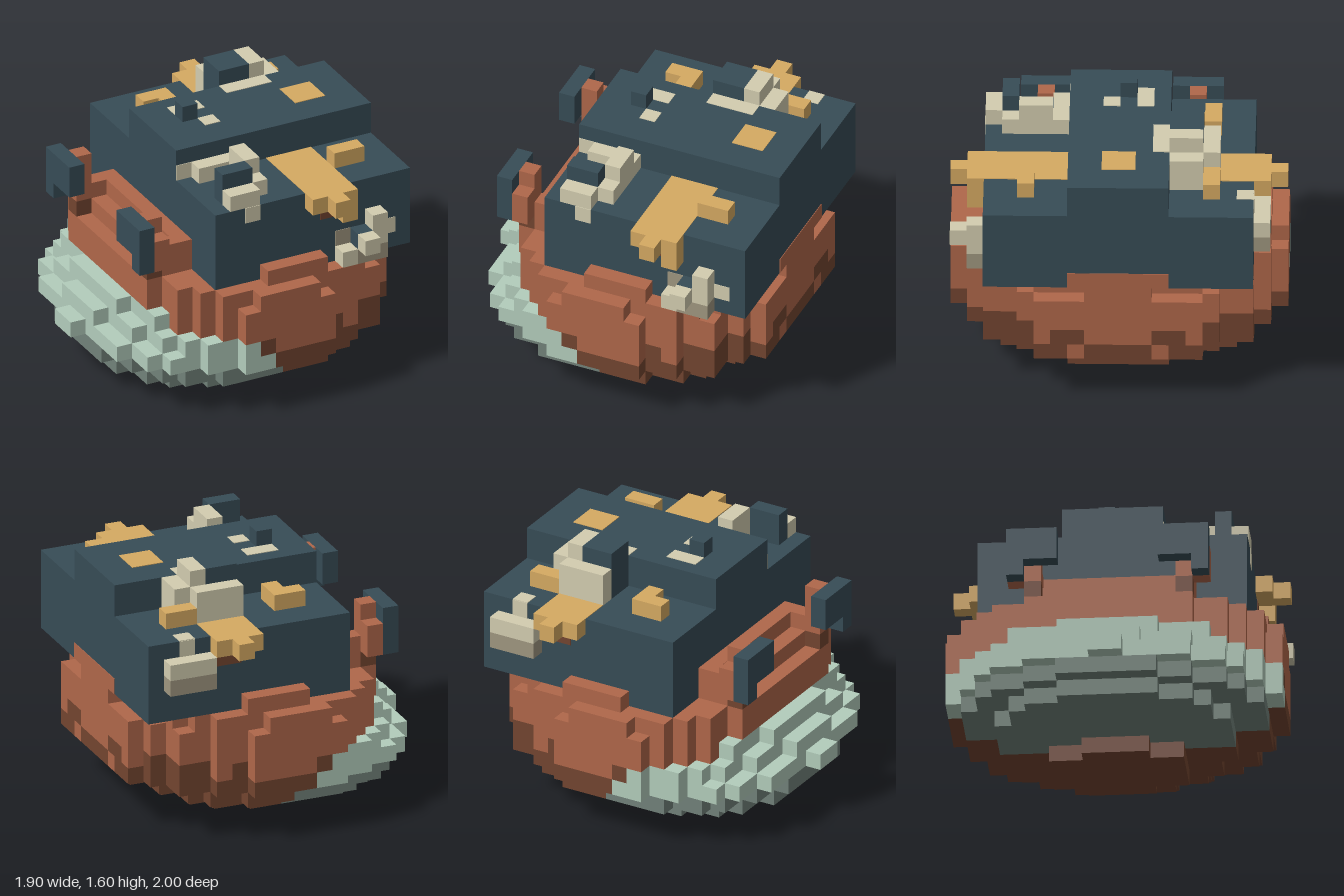
import * as THREE from 'three';
import { mergeGeometries } from 'three/addons/utils/BufferGeometryUtils.js';

const colour = (name, hex) => {
  const m = new THREE.MeshStandardMaterial({ color: hex });
  m.name = name;
  return m;
};
const U = 0.1; // block size
const T = 0.004; // painted plate thickness
const ROUND = 2.15; // exponent of the footprint curve

// Stacked footprints of the round body: centre x, left and right radius, z radius
const LAYERS = [
  [0.15, 0.3, 0.3, 0.4],
  [-0.05, 0.7, 0.7, 0.7],
  [0, 0.85, 0.85, 0.9],
  [0.05, 0.953, 0.94, 1],
  [0.05, 0.87, 0.94, 1],
  [0.05, 0.77, 0.94, 1],
  [0.05, 0.748, 0.94, 1],
  [0.05, 0.745, 0.87, 0.98],
];
// Shell colour reaches up to this x in each layer
const SHELL_EDGE = [-9, 0.05, 0.05, -0.05, -0.15, -0.55, -9, -9];

function bodyCell(x, j, z) {
  if (!LAYERS[j] || x > 0.92) return null;
  const [cx, rl, rr, rz] = LAYERS[j];
  const dx = x - cx;
  const a = Math.abs(z);
  if (Math.abs(dx / (dx < 0 ? rl : rr)) ** ROUND + (a / rz) ** ROUND > 1) return null;
  if (x < SHELL_EDGE[j]) return j < 3 ? 'shellUnderside' : 'shell';
  if (j < 3) return 'lowerBody';
  if (j === 3) return x > 0.6 && a > 0.2 && a < 0.3 ? 'upperBody' : 'lowerBody';
  if (j === 4) {
    const clay = (a > 0.7 && x > -0.05 && x < 0.35) || (a > 0.6 && x > 0.45 && x < 0.55)
      || (x > 0.6 && (a < 0.2 || (a > 0.4 && a < 0.5)));
    return clay ? 'upperBody' : 'lowerBody';
  }
  return 'upperBody';
}

// One exposed face of a block, turned toward direction d
function blockFace(x, y, z, d) {
  const g = new THREE.PlaneGeometry(U, U);
  const n = new THREE.Vector3(...d);
  g.applyQuaternion(new THREE.Quaternion().setFromUnitVectors(new THREE.Vector3(0, 0, 1), n));
  return g.translate(x + d[0] * U / 2, y + d[1] * U / 2, z + d[2] * U / 2);
}

export function createModel() {
  const model = new THREE.Group();
  model.name = 'blockCreature';
  const slate = colour('slate', 0x374c56);
  const clay = colour('clay', 0xb0674a);
  const darkClay = colour('darkClay', 0x734530);
  const sage = colour('sage', 0xb3cdbc);
  const darkSage = colour('darkSage', 0x72827a);
  const bone = colour('bone', 0xd3cdb0);
  const darkBone = colour('darkBone', 0xa09780);
  const ochre = colour('ochre', 0xd6aa62);

  const box = (name, mat, x0, x1, y0, y1, z0, z1) => {
    const m = new THREE.Mesh(new THREE.BoxGeometry(x1 - x0, y1 - y0, z1 - z0), mat);
    m.position.set((x0 + x1) / 2, (y0 + y1) / 2, (z0 + z1) / 2);
    m.name = name;
    model.add(m);
  };
  // Thin patch lying on a surface at height y
  const patch = (name, mat, x0, x1, y, z0, z1) => box(name, mat, x0, x1, y, y + T, z0, z1);
  // Thin patch on a front-facing surface at depth z
  const frontPatch = (name, mat, x0, x1, y0, y1, z) => box(name, mat, x0, x1, y0, y1, z, z + T);

  // Round stepped body and its side shell
  const mats = { upperBody: clay, lowerBody: darkClay, shell: sage, shellUnderside: darkSage };
  const faces = { upperBody: [], lowerBody: [], shell: [], shellUnderside: [] };
  const dirs = [[1, 0, 0], [-1, 0, 0], [0, 1, 0], [0, -1, 0], [0, 0, 1], [0, 0, -1]];
  for (let j = 0; j < 8; j++) for (let i = -9; i <= 9; i++) for (let k = 0; k < 20; k++) {
    const x = i * U, z = -0.95 + k * U;
    const part = bodyCell(x, j, z);
    if (!part) continue;
    for (const d of dirs) {
      if (!bodyCell(x + d[0] * U, j + d[1], z + d[2] * U)) faces[part].push(blockFace(x, (j + 0.5) * U, z, d));
    }
  }
  for (const part in faces) {
    const m = new THREE.Mesh(mergeGeometries(faces[part]), mats[part]);
    m.name = part;
    model.add(m);
  }

  // Upper slab and its raised middle
  box('slab', slate, -0.35, 0.95, 0.8, 1.3, -0.8, 0.8);
  box('raisedMiddle', slate, -0.35, 0.95, 1.3, 1.5, -0.3, 0.3);
  box('topKnob', slate, -0.15, -0.05, 1.5, 1.6, -0.1, 0);
  box('rightRim', clay, 0.948, 0.95 + T, 0.8, 0.9, -0.3, 0.3);

  // Stepped ledge on one side
  box('ledge', clay, -0.45, -0.35, 0.8, 1.0, -0.5, 0.5);
  box('ledgeStep', clay, -0.55, -0.45, 0.8, 0.9, -0.4, 0.4);

  // Posts, ears, rims and the ochre strip, mirrored front to back
  for (const s of [-1, 1]) {
    const span = (a, b) => (s > 0 ? [a, b] : [-b, -a]);
    box('ledgeEnd', clay, -0.55, -0.45, 0.8, 1.0, ...span(0.4, 0.5));
    box('post', clay, -0.65, -0.55, 0.9, 1.2, ...span(0.4, 0.5));
    box('outerPost', clay, -0.65, -0.55, 0.9, 1.1, ...span(0.5, 0.6));
    box('postFoot', darkClay, -0.65, -0.55, 0.8, 0.9, ...span(0.4, 0.5));
    box('ear', slate, -0.75, -0.65, 1.0, 1.2, ...span(0.3, 0.6));
    box('earTip', slate, -0.75, -0.65, 0.9, 1.0, ...span(0.5, 0.6));
    box('rim', clay, -0.05, 0.35, 0.8, 0.9, ...span(0.8, 0.9));
    // Ochre strip running over the slab edge
    patch('strip', ochre, 0.25, 0.55, 1.3, ...(s > 0 ? [0.3, 0.8] : [-0.8, -0.6]));
    box('stripLip', ochre, 0.25, 0.55, 1.2, 1.3 + T, ...span(0.8, 0.9));
    box('stripTip', ochre, 0.35, 0.45, 1.2, 1.3 + T, ...span(0.9, 1.0));
    box('stripBump', ochre, 0.55, 0.75, 1.3, 1.4, ...span(0.5, 0.6));
    box('stripShade', darkClay, 0.35, s > 0 ? 0.45 : 0.55, 1.1, 1.2, ...span(0.8, 0.8 + T));
  }
  box('stripDrop', ochre, 0.45, 0.55, 1.1, 1.2, 0.8, 0.9);

  // Cluster at the back of the top
  box('backKnob', slate, 0.25, 0.45, 1.3, 1.6, -0.5, -0.3);
  box('backKnobSide', bone, 0.45, 0.55, 1.3, 1.6, -0.5, -0.3);
  box('backKnobStep', bone, 0.55, 0.65, 1.3, 1.5, -0.5, -0.3);
  box('backKnobRear', bone, 0.25, 0.55, 1.3, 1.5, -0.6, -0.5);
  patch('backKnobPatch', bone, 0.25, 0.55, 1.5, -0.3, -0.2);
  box('backOchreKnob', ochre, -0.15, 0.05, 1.3, 1.4, -0.6, -0.5);
  box('backOchreKnobStep', ochre, -0.05, 0.05, 1.3, 1.4, -0.5, -0.4);

  // Cluster at the front of the top
  box('frontKnob', slate, -0.25, -0.05, 1.3, 1.5, 0.6, 0.7);
  box('frontKnobSide', bone, -0.05, 0.05, 1.3, 1.5, 0.4, 0.6);
  box('frontKnobStep', bone, -0.05, 0.05, 1.3, 1.4, 0.6, 0.7);
  box('frontKnobEdge', bone, -0.25, -0.05, 1.3, 1.4, 0.7, 0.8);
  box('frontKnobRear', bone, -0.25, 0.05, 1.3, 1.4, 0.3, 0.4);
  frontPatch('frontKnobDrip', bone, -0.15, -0.05, 1.2, 1.3, 0.8);
  frontPatch('middlePatch', bone, -0.35, -0.25, 1.3, 1.4, 0.3);

  // Flat spots on top
  patch('spot', ochre, 0.55, 0.75, 1.5, -0.1, 0.1);
  patch('spot', bone, -0.15, 0.05, 1.5, -0.2, -0.1);
  patch('spot', bone, -0.05, 0.05, 1.5, 0, 0.1);
  patch('spot', bone, 0.65, 0.75, 1.3, -0.8, -0.7);

  // Bony cluster low on the front
  box('frontBoneTip', bone, 0.55, 0.65, 0.9, 1.0, 0.9, 1.0);
  box('frontBoneCore', slate, 0.55, 0.65, 0.9, 1.0, 0.8, 0.9);
  box('frontBoneTall', bone, 0.65, 0.75, 0.9, 1.1, 0.8, 0.9);
  box('frontBoneShade', darkBone, 0.55, 0.75, 0.8, 0.9, 0.8, 0.9);
  box('frontBoneLow', bone, 0.45, 0.55, 0.8, 0.9, 0.8, 0.9);
  frontPatch('frontBoneSpot', darkBone, 0.45, 0.55, 0.9, 1.0, 0.8);
  frontPatch('frontBoneSpot', bone, 0.75, 0.85, 0.9, 1.0, 0.8);

  // Bony cluster on the back
  box('backBone', bone, 0.55, 0.85, 1.1, 1.2, -0.9, -0.8);
  box('backBoneShade', darkBone, 0.55, 0.85, 1.0, 1.1, -0.9, -0.8);
  box('backBonePatch', bone, 0.65, 0.75, 1.2, 1.3, -0.8 - T, -0.8);

  return model;
}
